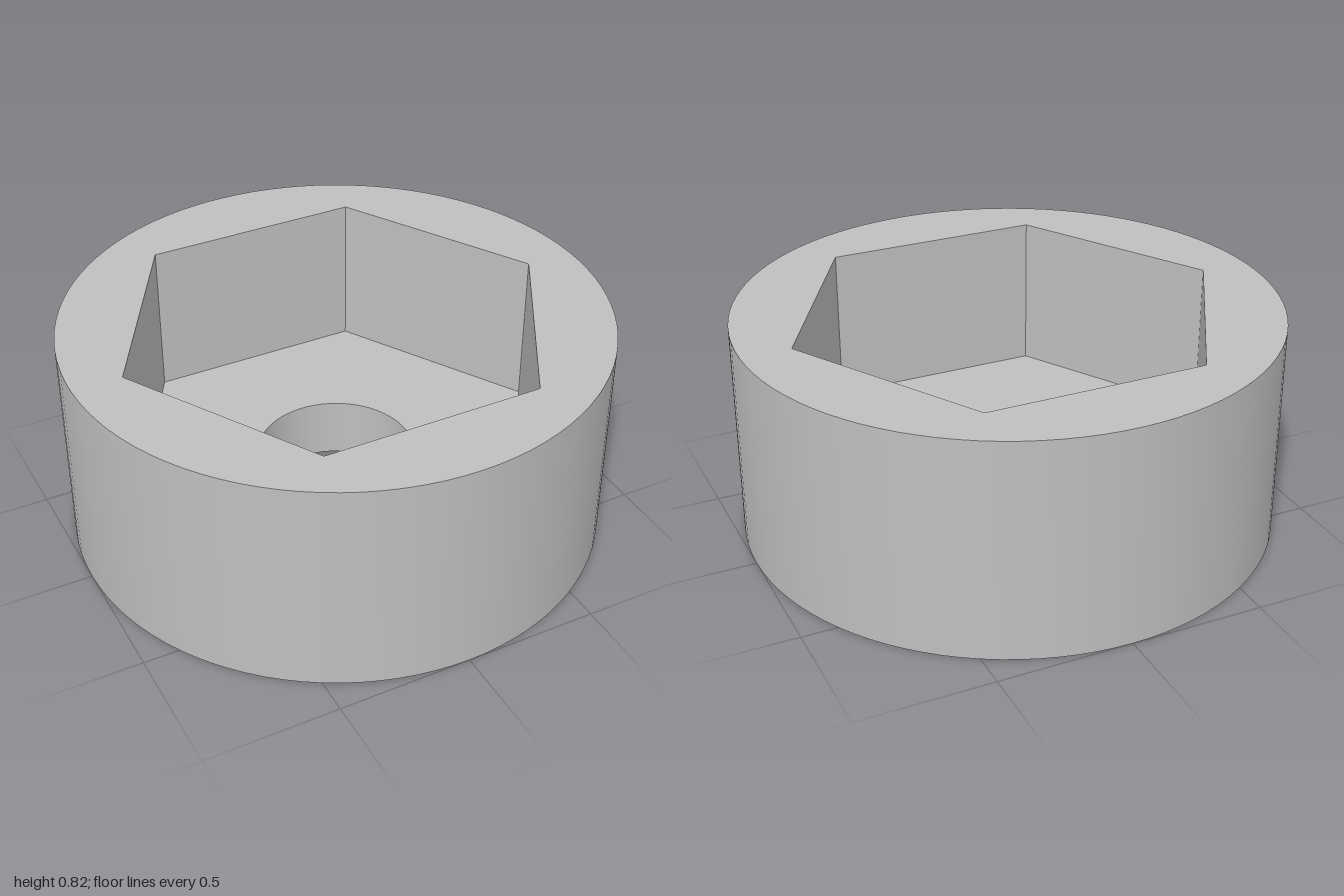
import * as THREE from 'three';
import { toCreasedNormals } from 'three/addons/utils/BufferGeometryUtils.js';

const SEGMENTS = 96;
const HEIGHT = 14 / 17;
const FLOOR = 4 / 17; // height of the pocket floor
const HOLE = 5 / 17; // radius of the through hole
const HEX = (12 / 17) / Math.cos(Math.PI / 6); // corner radius of the pocket

// Regular polygon in the plane, first corner on +x
function ring(radius, sides) {
  return Array.from({ length: sides }, (_, i) => {
    const a = (i / sides) * Math.PI * 2;
    return new THREE.Vector2(radius * Math.cos(a), radius * Math.sin(a));
  });
}

// Flat upward-facing face with an opening
function openFace(outer, inner, y) {
  const shape = new THREE.Shape(outer);
  shape.holes.push(new THREE.Path(inner));
  return new THREE.ShapeGeometry(shape).rotateX(-Math.PI / 2).translate(0, y, 0);
}

// Surface of revolution with sharp edges kept
function turned(profile, sides) {
  const points = profile.map(([r, y]) => new THREE.Vector2(r, y));
  const lathe = new THREE.LatheGeometry(points, sides, Math.PI / 2);
  return toCreasedNormals(lathe, Math.PI / 6);
}

export function createModel() {
  const group = new THREE.Group();
  group.name = 'hexSocketCollar';
  const grey = new THREE.MeshStandardMaterial({ color: 0xbfbfbf });
  grey.name = 'plain grey';

  const add = (name, geometry) => {
    const mesh = new THREE.Mesh(geometry, grey);
    mesh.name = name;
    group.add(mesh);
  };

  // Through hole, underside and outer wall in one profile
  add('body', turned([[HOLE, FLOOR], [HOLE, 0], [1, 0], [1, HEIGHT]], SEGMENTS));
  // Six inward-facing pocket walls
  add('pocketWalls', turned([[HEX, HEIGHT], [HEX, FLOOR]], 6));
  // Rim around the pocket and floor around the hole
  add('topRim', openFace(ring(1, SEGMENTS), ring(HEX, 6), HEIGHT));
  add('pocketFloor', openFace(ring(HEX, 6), ring(HOLE, SEGMENTS), FLOOR));

  return group;
}
